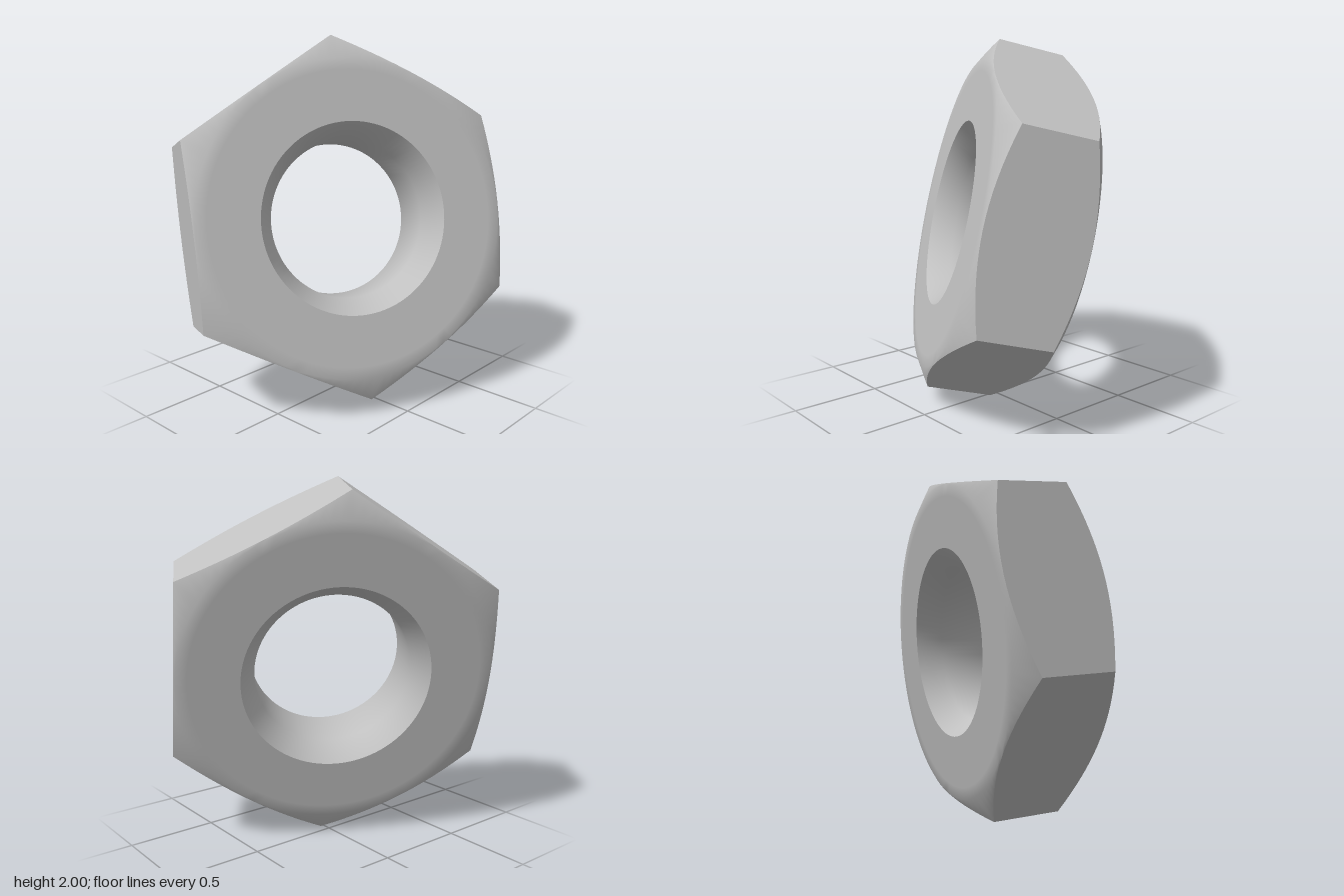
import * as THREE from 'three';
import { toCreasedNormals } from 'three/addons/utils/BufferGeometryUtils.js';

const SEG = 96;            // divisible by six, so corners fall on vertices
const R = 0.985;           // corner radius
const H = 0.265;           // half thickness
const FACE_R = 0.846;      // radius where the outer chamfer begins
const HOLE_R = 0.513, BORE_R = 0.43, BORE_H = 0.135;

// Distance from the axis to the hexagon outline at an angle
function hexRadius(t) {
  const s = Math.PI / 3;
  const u = ((t % s) + s) % s - s / 2;
  return R * Math.cos(s / 2) / Math.cos(u);
}

// Skin a list of rings; each ring is a function angle -> [radius, height]
function loft(rings) {
  const pos = [], idx = [];
  for (const ring of rings) {
    for (let i = 0; i < SEG; i++) {
      const t = i / SEG * Math.PI * 2;
      const [r, y] = ring(t);
      pos.push(r * Math.cos(t), y, r * Math.sin(t));
    }
  }
  for (let j = 0; j < rings.length - 1; j++) {
    for (let i = 0; i < SEG; i++) {
      const k = (i + 1) % SEG;
      const a = j * SEG + i, b = j * SEG + k, c = a + SEG, d = b + SEG;
      idx.push(a, c, b, b, c, d);
    }
  }
  const g = new THREE.BufferGeometry();
  g.setAttribute('position', new THREE.Float32BufferAttribute(pos, 3));
  g.setIndex(idx);
  return toCreasedNormals(g, THREE.MathUtils.degToRad(36));
}

export function createModel() {
  const steel = new THREE.MeshStandardMaterial({ color: 0xc0c0c0 });
  steel.name = 'steel grey';

  const circle = (r, y) => () => [r, y];
  // Conical chamfer cut across the hexagon corners
  const rim = (side) => (t) => {
    const r = hexRadius(t);
    return [r, side * (H - (r - FACE_R) * Math.tan(Math.PI / 6))];
  };

  const nut = new THREE.Group();
  nut.name = 'hexNut';
  const add = (name, rings) => {
    const m = new THREE.Mesh(loft(rings), steel);
    m.name = name;
    nut.add(m);
  };

  // Hexagonal body with both flat faces and their chamfers
  add('hexBody', [
    circle(HOLE_R, -H), circle(FACE_R - 0.06, -H), circle(FACE_R, -H), rim(-1),
    rim(1), circle(FACE_R, H), circle(FACE_R - 0.06, H), circle(HOLE_R, H),
  ]);
  // Hole with a countersink at each end
  add('bore', [
    circle(HOLE_R, H), circle(BORE_R, BORE_H), circle(BORE_R, -BORE_H), circle(HOLE_R, -H),
  ]);

  // Tilt: local y is the hole axis, local x points at the top corner
  const axis = new THREE.Vector3(0.86, 0.22, 0.46).normalize();
  const corner = new THREE.Vector3(-0.213, 0.975, -0.066);
  corner.addScaledVector(axis, -corner.dot(axis)).normalize();
  const third = new THREE.Vector3().crossVectors(corner, axis);
  nut.quaternion.setFromRotationMatrix(new THREE.Matrix4().makeBasis(corner, axis, third));
  nut.position.y = 1;

  const model = new THREE.Group();
  model.name = 'model';
  model.add(nut);
  return model;
}
